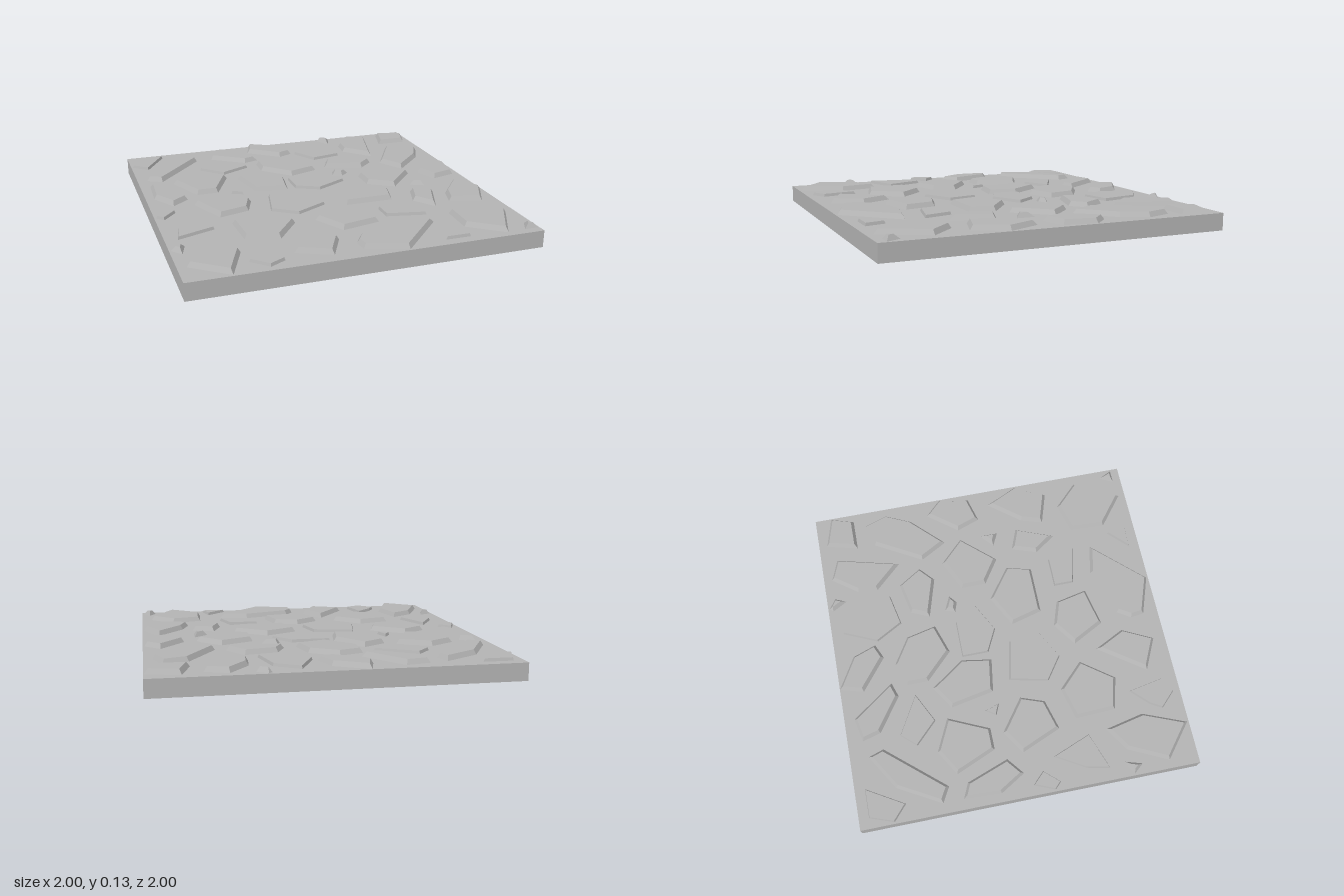
import * as THREE from 'three';

const SLAB_TOP = 0.1;
const TALL = { height: 0.028, inset: 0.016 };
const LOW = { height: 0.017, inset: 0.005 };

// A bevelled stone: base outline (x, z in hundredths, clockwise from above)
// raised to a smaller copy of itself, every edge moved in by the same inset.
function stoneGeometry(outline, { height, inset }) {
  const base = [];
  for (let i = 0; i < outline.length; i += 2) {
    base.push(new THREE.Vector2(outline[i] / 100, outline[i + 1] / 100));
  }
  const n = base.length;
  const inward = base.map((p, i) => {
    const d = base[(i + 1) % n].clone().sub(p).normalize();
    return new THREE.Vector2(-d.y, d.x);
  });
  const top = base.map((p, i) => {
    const a = inward[(i + n - 1) % n], b = inward[i];
    return p.clone().addScaledVector(a.clone().add(b), inset / (1 + a.dot(b)));
  });

  const positions = [];
  const low = (i) => positions.push(base[i].x, SLAB_TOP, base[i].y);
  const high = (i) => positions.push(top[i].x, SLAB_TOP + height, top[i].y);
  for (let i = 0; i < n; i++) {
    const j = (i + 1) % n;
    low(i); high(i); low(j);
    low(j); high(i); high(j);
    if (i > 0 && i < n - 1) { high(0); high(i + 1); high(i); }
  }
  const geometry = new THREE.BufferGeometry();
  geometry.setAttribute('position', new THREE.Float32BufferAttribute(positions, 3));
  geometry.computeVertexNormals();
  return geometry;
}

export function createModel() {
  const model = new THREE.Group();
  model.name = 'stonePaving';
  const stoneGrey = new THREE.MeshStandardMaterial({ color: 0xb4b4b4, flatShading: true });
  stoneGrey.name = 'stone grey';

  // Base slab
  const slab = new THREE.Mesh(new THREE.BoxGeometry(2, SLAB_TOP, 2), stoneGrey);
  slab.name = 'slab';
  slab.position.y = SLAB_TOP / 2;
  model.add(slab);

  // Paving stones, one group per band of the slab
  function addStones(name, profile, outlines) {
    const group = new THREE.Group();
    group.name = name;
    for (const outline of outlines) {
      const mesh = new THREE.Mesh(stoneGeometry(outline, profile), stoneGrey);
      mesh.name = 'stone';
      group.add(mesh);
    }
    model.add(group);
  }

  addStones('backStones', TALL, [
    [-59, -89, -56, -80, -85, -46, -94, -51, -80, -76],
    [-49, -91, -35, -94, -17, -69, -26, -66, -46, -80],
    [-15, -100, 4, -89, 9, -75, 0, -71, -19, -86],
    [38, -99, 44, -95, 41, -88, 36, -97],
    [57, -95, 70, -90, 60, -52, 45, -68, 46, -80],
    [81, -95, 99.5, -90, 95, -76, 76, -76],
    [90, -70, 95, -55, 88, -40, 69, -21, 60, -37, 76, -65],
  ]);

  addStones('middleBackStones', TALL, [
    [45, -54, 54, -40, 45, -32, 21, -39, 26, -50],
    [-6, -65, 10, -55, 14, -37, -4, -31, -20, -47, -20, -60],
    [-64, -49, -45, -40, -56, -16, -69, -16, -79, -40],
    [-94, -39, -85, -35, -76, -10, -86, -2, -95, -17],
    [-25, -45, -11, -25, -14, -7, -34, -10, -39, -36],
    [23, -29, 32, -25, 27, -21, 21, -23],
    [55, -25, 69, -11, 51, 9, 36, -1, 36, -16],
    [90, -29, 99, -20, 96, -1, 81, 3, 76, -11],
  ]);

  addStones('middleFrontStones', TALL, [
    [-60, -9, -41, 5, -46, 19, -64, 24, -74, 0],
    [25, 0, 44, 14, 40, 29, 11, 29, 6, 10],
    [69, 2, 69, 13, 61, 9],
    [-41, 30, -26, 45, -40, 64, -59, 59, -60, 35],
    [0, 35, 15, 40, 19, 59, -4, 64, -14, 45],
    [56, 20, 69, 25, 60, 48, 51, 35],
    [90, 11, 99, 30, 90, 49, 71, 43, 75, 30],
  ]);

  addStones('frontStones', TALL, [
    [-91, 57, -94, 67, -99, 61],
    [-70, 51, -65, 74, -75, 99, -95, 83, -84, 60],
    [-20, 57, -11, 75, -20, 93, -39, 84],
    [30, 65, 48, 69, 20, 99, -3, 91, -4, 83, 1, 75],
    [80, 55, 94, 69, 80, 96, 61, 81, 62, 60],
    [95, 87, 99, 95, 91, 95],
  ]);

  // Shallower stones with steep edges
  addStones('lowStones', LOW, [
    [-94, -94, -77, -94, -90, -72, -99, -80],
    [20, -93, 34, -84, 39, -61, 20, -57, 11, -73],
    [-50, -69, -27, -56, -45, -47, -58, -60],
    [-9, -24, 14, -24, 24, -11, 5, -1, -9, -8],
    [-45, -17, -42, -8, -49, -11],
    [-94, 2, -87, 9, -95, 18, -99, 14],
    [-29, 1, -5, 6, -1, 24, -20, 34, -34, 24],
  ]);
  addStones('lowFrontStones', LOW, [
    [-80, 17, -71, 40, -93, 48, -90, 34],
    [26, 41, 44, 41, 49, 58, 26, 53],
    [-50, 70, -46, 91, -55, 96, -64, 87, -60, 80],
    [55, 82, 58, 94, 43, 94],
  ]);

  return model;
}
